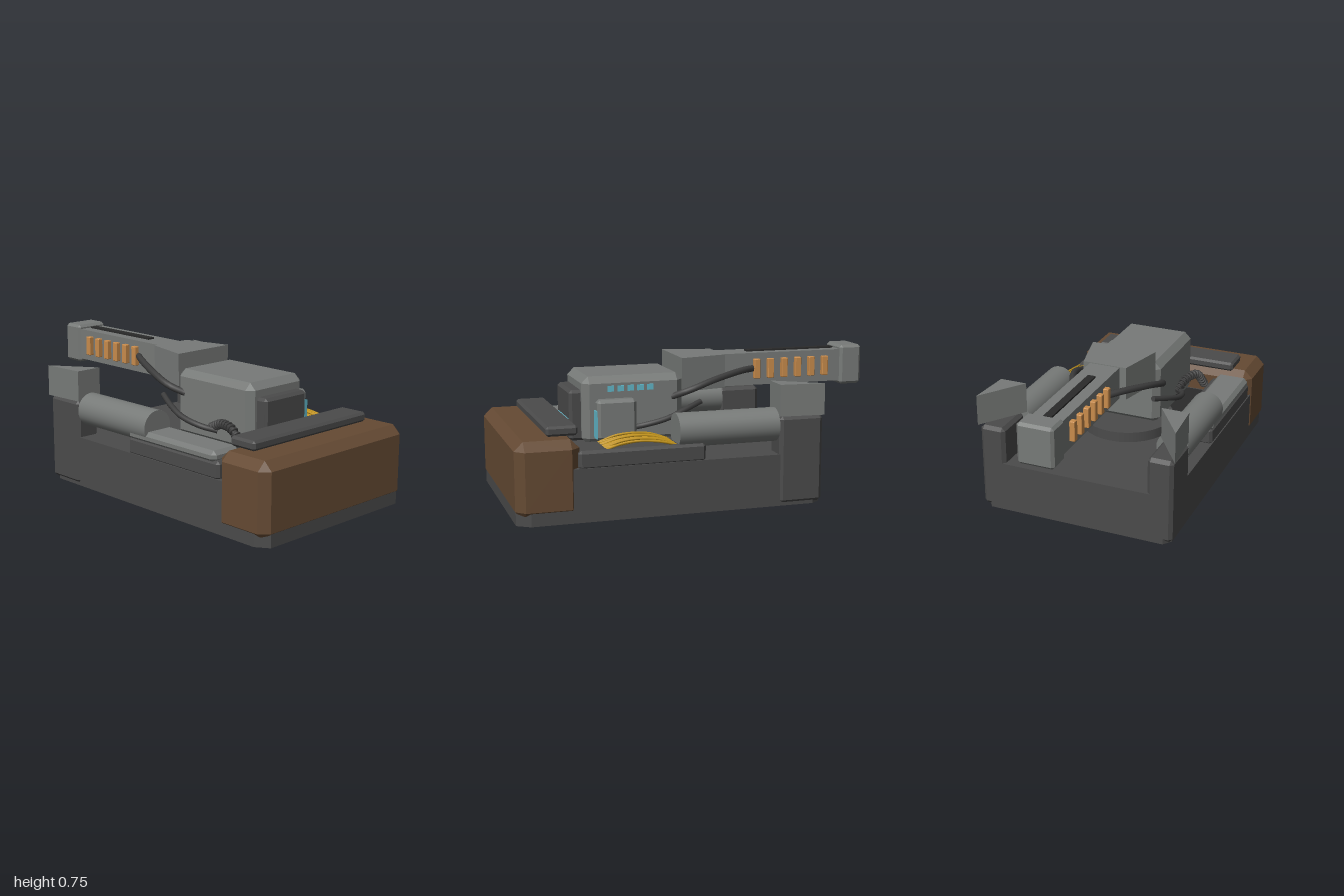
import * as THREE from 'three';
import { ConvexGeometry } from 'three/addons/geometries/ConvexGeometry.js';

const paint = (name, color, side = THREE.FrontSide) => {
  const m = new THREE.MeshStandardMaterial({ color, side });
  m.name = name;
  return m;
};

export function createModel() {
  const root = new THREE.Group();
  root.name = 'turretCart';
  const grey = paint('lightGrey', 0x777a78);
  const dark = paint('darkGrey', 0x4b4b4b);
  const black = paint('slotBlack', 0x2a2a2a);
  const brown = paint('rustBrown', 0x654a33);
  const cyan = paint('glowCyan', 0x62b8ca);
  const copper = paint('copper', 0xc98c4c);
  const yellow = paint('ropeYellow', 0xc4951c);
  const rubber = paint('rubber', 0x3d3d3d);

  const add = (name, geometry, material, parent = root) => {
    const mesh = new THREE.Mesh(geometry, material);
    mesh.name = name;
    parent.add(mesh);
    return mesh;
  };
  // Box given by its extents, with every edge chamfered by c
  const block = (name, mat, [x0, x1], [y0, y1], [z0, z1], c = 0, parent = root) => {
    const size = [x1 - x0, y1 - y0, z1 - z0];
    let geo;
    if (c === 0) geo = new THREE.BoxGeometry(...size);
    else {
      const points = [];
      for (const sx of [-1, 1]) for (const sy of [-1, 1]) for (const sz of [-1, 1])
        for (let axis = 0; axis < 3; axis++) {
          const p = [sx, sy, sz].map((s, i) => s * (size[i] / 2 - (i === axis ? 0 : c)));
          points.push(new THREE.Vector3(...p));
        }
      geo = new ConvexGeometry(points);
    }
    const mesh = add(name, geo, mat, parent);
    mesh.position.set((x0 + x1) / 2, (y0 + y1) / 2, (z0 + z1) / 2);
    return mesh;
  };
  // Upright prism from a plan outline of [x, z] points
  const prism = (name, mat, plan, y0, y1) => {
    const shape = new THREE.Shape(plan.map(([x, z]) => new THREE.Vector2(x, -z)));
    const geo = new THREE.ExtrudeGeometry(shape, { depth: y1 - y0, bevelEnabled: false });
    geo.rotateX(-Math.PI / 2).translate(0, y0, 0);
    return add(name, geo, mat);
  };
  const curveOf = (pts) => new THREE.CatmullRomCurve3(pts.map((p) => new THREE.Vector3(...p)));
  // Tube with closed ends
  const cable = (name, mat, pts, r, parent = root) => {
    const curve = curveOf(pts);
    add(name, new THREE.TubeGeometry(curve, 20, r, 8), mat, parent);
    for (const t of [0, 1]) {
      const cap = add(name + 'End', new THREE.CircleGeometry(r, 8), mat, parent);
      const at = curve.getPoint(t);
      cap.position.copy(at);
      cap.lookAt(at.clone().addScaledVector(curve.getTangent(t), t ? 1 : -1));
    }
  };

  // Hull with clipped corners, and the armoured nose
  prism('hull', dark, [[-0.47, 0.997], [0.47, 0.997], [0.515, 0.93], [0.515, -0.54],
    [0.48, -0.585], [-0.48, -0.585], [-0.515, -0.54], [-0.515, 0.93]], 0, 0.27);
  block('nose', brown, [-0.52, 0.52], [0.025, 0.413], [0.68, 1], 0.045);
  block('noseTopPlate', dark, [-0.415, 0.415], [0.415, 0.465], [0.67, 0.83], 0.012);

  // Mirrored side fittings: rear posts, fins, tanks and decks
  for (const s of [-1, 1]) {
    const span = (a, b) => (s > 0 ? [a, b] : [-b, -a]);
    block('rearPost', dark, span(0.39, 0.527), [0.012, 0.467], [-0.585, -0.35], 0.018);
    prism('rearFin', grey, [[s * 0.537, -0.585], [s * 0.375, -0.35], [s * 0.52, -0.35]], 0.467, 0.63);
    const tank = add('sideTank', new THREE.CylinderGeometry(0.087, 0.087, 0.53, 32), grey);
    tank.rotation.x = Math.PI / 2;
    tank.position.set(s * 0.437, 0.415, -0.085);
    block('sideDeck', dark, span(0.29, 0.512), [0.26, 0.355], [0.04, 0.69], 0.015);
  }
  block('leftLocker', grey, [-0.515, -0.335], [0.34, 0.4], [0.04, 0.665], 0.02);
  block('deckHatch', black, [-0.31, -0.15], [0.26, 0.3], [0.29, 0.61]);

  // Turntable and turret body
  const ring = add('turntable', new THREE.CylinderGeometry(0.25, 0.25, 0.055, 32), dark);
  ring.position.set(0, 0.2975, 0.12);
  block('turretBody', grey, [-0.198, 0.198], [0.31, 0.663], [0.06, 0.595], 0.035);
  block('turretFace', dark, [-0.15, 0.15], [0.33, 0.592], [0.56, 0.655], 0.015);
  block('faceLight', cyan, [-0.122, 0.122], [0.36, 0.445], [0.654, 0.662]);
  for (let i = 0; i < 5; i++) {
    const z = 0.24 + i * 0.0525;
    block('sideLight', cyan, [0.196, 0.203], [0.585, 0.615], [z - 0.017, z + 0.017]);
  }
  block('sensorBox', grey, [0.222, 0.288], [0.35, 0.557], [0.335, 0.54], 0.016);
  block('sensorLight', cyan, [0.233, 0.281], [0.36, 0.502], [0.539, 0.547]);

  // Barrel with its tapered shoulder
  prism('barrelShoulder', grey, [[-0.18, 0.062], [0.18, 0.062], [0.118, -0.195], [-0.118, -0.195]], 0.56, 0.737);
  block('barrel', grey, [-0.082, 0.082], [0.56, 0.733], [-0.9, -0.17]);
  block('muzzle', grey, [-0.096, 0.096], [0.54, 0.755], [-1, -0.875], 0.014);
  block('barrelSlot', black, [-0.021, 0.021], [0.733, 0.742], [-0.86, -0.355]);
  for (const s of [-1, 1]) for (let i = 0; i < 6; i++) {
    const z = -0.385 - i * 0.079, x = s * 0.094;
    block('coolingFin', copper, [x - 0.015, x + 0.015], [0.597, 0.702], [z - 0.017, z + 0.017], 0.003);
  }

  // Cables on both sides of the turret
  for (const s of [-1, 1]) {
    cable('upperCable', rubber, [[s * 0.08, 0.65, -0.37], [s * 0.14, 0.65, -0.28],
      [s * 0.215, 0.62, -0.1], [s * 0.23, 0.575, 0.04], [s * 0.185, 0.54, 0.12]], 0.018);
    cable('lowerCable', rubber, [[s * 0.205, 0.51, -0.03], [s * 0.25, 0.475, 0.08],
      [s * 0.268, 0.44, 0.18], [s * 0.25, 0.41, 0.3], [s * 0.2, 0.39, 0.37]], 0.015);
  }

  // Ribbed hose beside the turret
  const hosePoints = [[-0.2, 0.4, 0.33], [-0.225, 0.44, 0.43], [-0.25, 0.43, 0.53], [-0.265, 0.34, 0.62]];
  cable('hose', rubber, hosePoints, 0.016);
  const hose = curveOf(hosePoints);
  for (let i = 0; i <= 14; i++) {
    const rib = add('hoseRib', new THREE.TorusGeometry(0.019, 0.007, 6, 12), rubber);
    const at = hose.getPointAt(i / 14);
    rib.position.copy(at);
    rib.lookAt(at.clone().add(hose.getTangentAt(i / 14)));
  }

  // Bundle of rope strands arched over the right deck
  const rope = new THREE.Group();
  rope.name = 'ropeBundle';
  root.add(rope);
  for (let i = 0; i < 11; i++) {
    const x = 0.318 + i * 0.0165, w = 0.007 * Math.sin(i * 2.3), h = 0.006 * Math.cos(i * 1.7);
    cable('ropeStrand', yellow, [[x - w, 0.352, 0.55], [x + w, 0.376 + h, 0.46],
      [x, 0.384 + h, 0.37], [x - w, 0.376 + h, 0.28], [x + w, 0.352, 0.19]], 0.006, rope);
  }
  return root;
}
